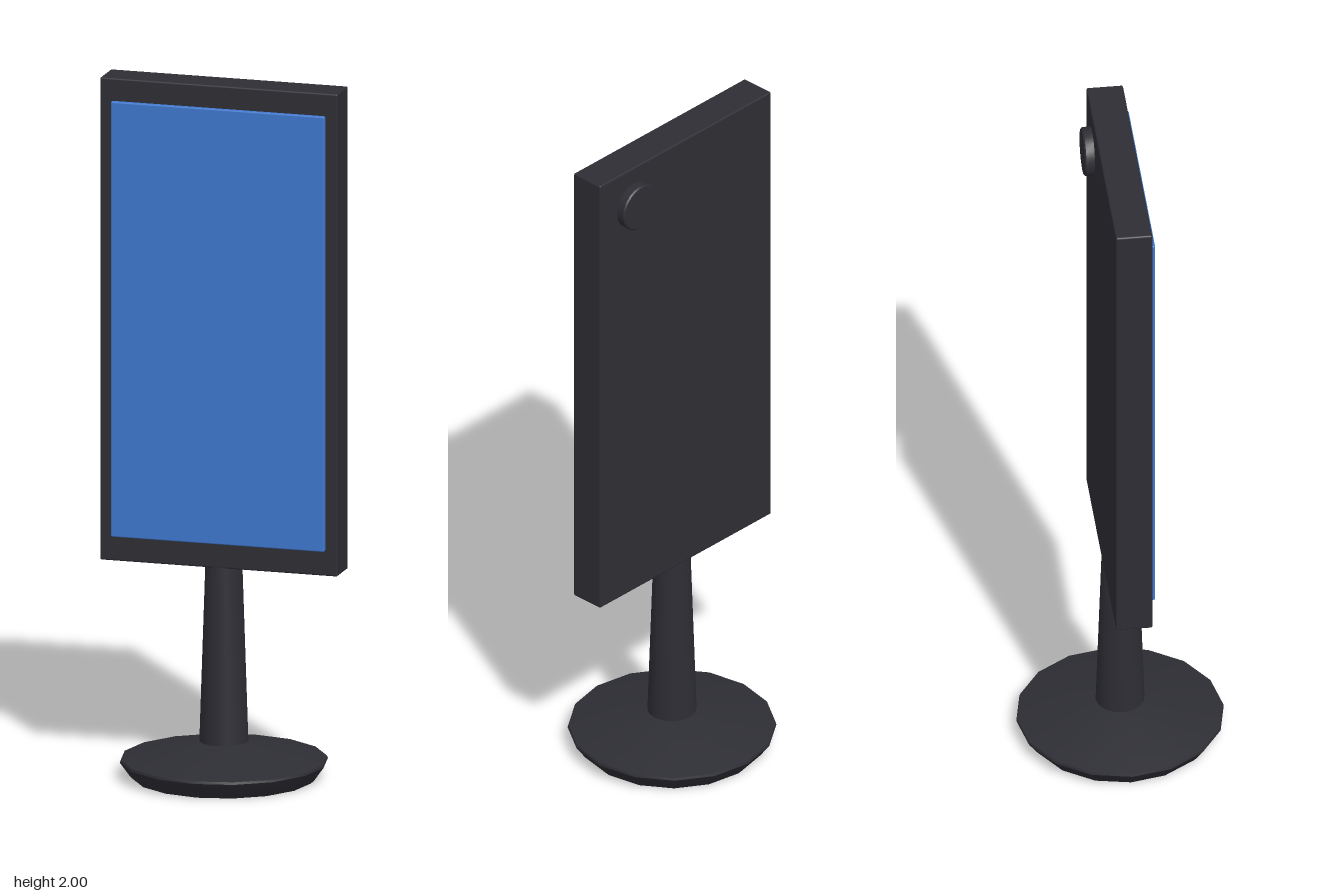
import * as THREE from 'three';
import { toCreasedNormals } from 'three/addons/utils/BufferGeometryUtils.js';
import { RoundedBoxGeometry } from 'three/addons/geometries/RoundedBoxGeometry.js';

export function createModel() {
  const group = new THREE.Group();
  const casing = new THREE.MeshStandardMaterial({ color: 0x2d2d34 });
  casing.name = 'dark casing';
  const blue = new THREE.MeshStandardMaterial({ color: 0x3f78cf });
  blue.name = 'screen blue';

  function add(name, geometry, material, x = 0, y = 0, z = 0) {
    const mesh = new THREE.Mesh(geometry, material);
    mesh.name = name;
    mesh.position.set(x, y, z);
    group.add(mesh);
    return mesh;
  }

  // Turned part from [radius, height] pairs, listed from the bottom up
  function turned(profile, sides) {
    const points = profile.map(([r, y]) => new THREE.Vector2(r, y));
    return toCreasedNormals(new THREE.LatheGeometry(points, sides), 0.45);
  }

  // Foot: flared disc with a shallow conical top
  add('base', turned([[0, 0], [0.255, 0], [0.265, 0.01], [0.292, 0.048], [0.29, 0.055],
    [0.068, 0.105], [0, 0.105]], 16), casing);

  // Tapered pole
  add('pole', turned([[0.069, 0.1], [0.052, 0.615]], 16), casing);

  // Upright display housing and its raised screen
  add('housing', new RoundedBoxGeometry(0.694, 1.388, 0.103, 2, 0.005), casing, 0, 1.306, -0.0015);
  add('screen', new RoundedBoxGeometry(0.624, 1.252, 0.018, 2, 0.004), blue, 0, 1.309, 0.053);

  // Round button on the back, upper left
  const button = add('backButton', turned([[0.069, 0], [0.069, 0.027], [0.065, 0.031], [0, 0.031]], 20),
    casing, 0.21, 1.881, -0.05);
  button.rotation.x = -Math.PI / 2;

  return group;
}
